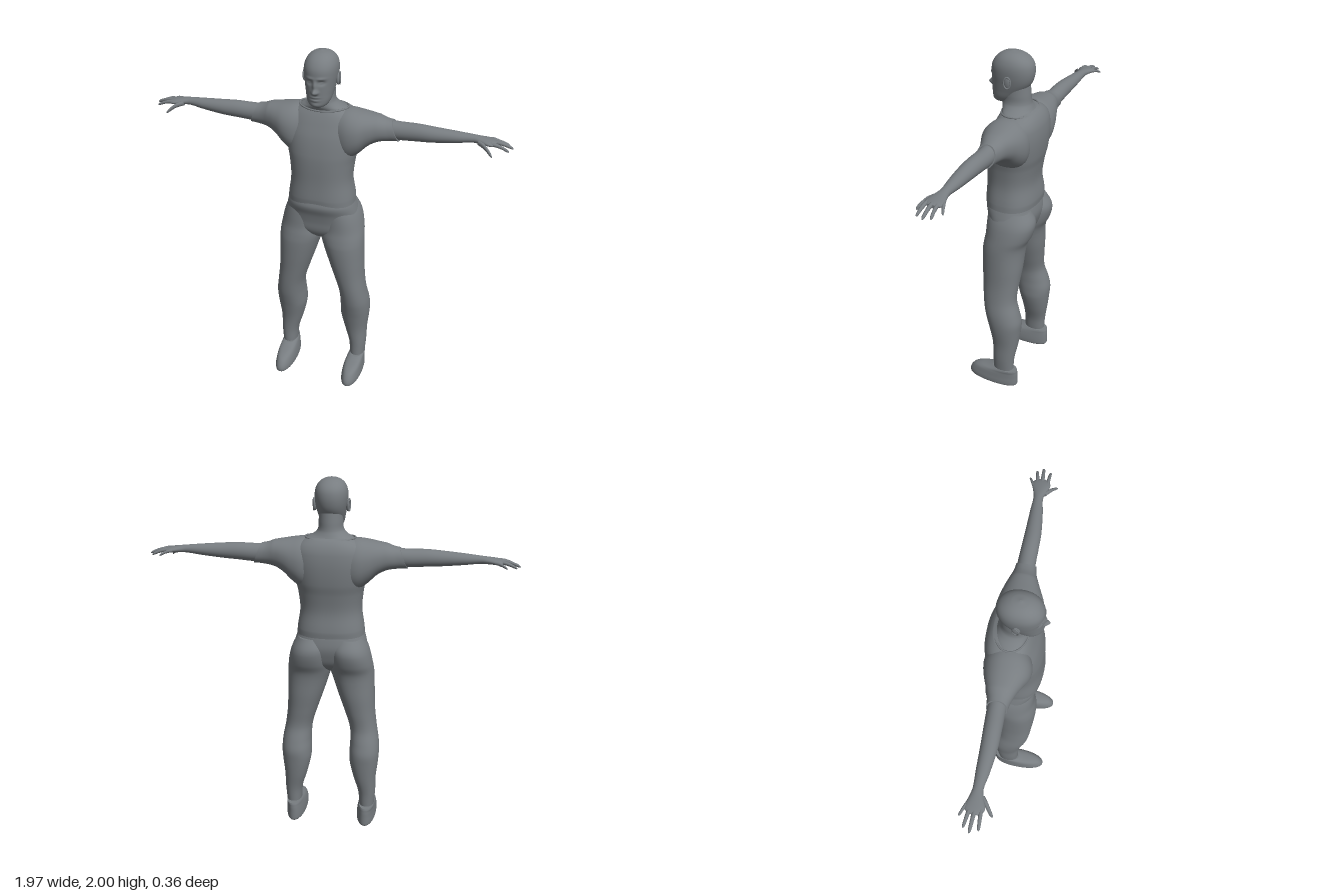
import * as THREE from 'three';

const grey = new THREE.MeshStandardMaterial({ color: 0x787d81 });
grey.name = 'plain grey';

// Axis order for a loft: [axis, first cross direction, second cross direction]
const AXES = { y: ['y', 'x', 'z'], x: ['x', 'z', 'y'] };

// Smooth interpolation through rows of [t, a0, a1, b0, b1]
function refine(rows, steps) {
  const slope = (i, k) => {
    const p = rows[Math.max(i - 1, 0)], q = rows[Math.min(i + 1, rows.length - 1)];
    return (q[k] - p[k]) / (q[0] - p[0]);
  };
  const out = [];
  for (let i = 0; i < rows.length - 1; i++) {
    const p = rows[i], q = rows[i + 1], h = q[0] - p[0];
    for (let s = 0; s < steps; s++) {
      const u = s / steps, u2 = u * u, u3 = u2 * u;
      out.push(p.map((v, k) => k === 0 ? v + h * u
        : (2 * u3 - 3 * u2 + 1) * v + (u3 - 2 * u2 + u) * h * slope(i, k)
        + (3 * u2 - 2 * u3) * q[k] + (u3 - u2) * h * slope(i + 1, k)));
    }
  }
  out.push(rows[rows.length - 1]);
  return out;
}

// Closed skin over superellipse cross-sections, optionally deformed
function loft(rows, { axis = 'y', seg = 40, steps = 5, power = 2, deform = null } = {}) {
  const rings = refine(rows, steps);
  const first = rings[0], last = rings[rings.length - 1];
  const point = ([t, a0, a1, b0, b1]) => [t, (a0 + a1) / 2, (a0 + a1) / 2, (b0 + b1) / 2, (b0 + b1) / 2];
  const all = [point(first), first, ...rings, last, point(last)];
  const pos = [], index = [], v = new THREE.Vector3(), [T, A, B] = AXES[axis];
  const bend = (c) => Math.sign(c) * Math.pow(Math.abs(c), 2 / power);
  for (const [t, a0, a1, b0, b1] of all) {
    for (let j = 0; j < seg; j++) {
      const w = (j / seg) * Math.PI * 2;
      v[T] = t;
      v[A] = (a0 + a1) / 2 + (a1 - a0) / 2 * bend(Math.cos(w));
      v[B] = (b0 + b1) / 2 + (b1 - b0) / 2 * bend(Math.sin(w));
      if (deform) deform(v);
      pos.push(v.x, v.y, v.z);
    }
  }
  for (let i = 0; i < all.length - 1; i++) {
    if (i === 1 || i === all.length - 3) continue; // keeps cap edges sharp
    for (let j = 0; j < seg; j++) {
      const k = (j + 1) % seg, a = i * seg + j, b = a + seg, c = i * seg + k, d = c + seg;
      index.push(a, b, c, c, b, d);
    }
  }
  const g = new THREE.BufferGeometry();
  g.setAttribute('position', new THREE.Float32BufferAttribute(pos, 3));
  g.setIndex(index);
  g.computeVertexNormals();
  return g;
}

// Mirror across x = 0 with corrected winding
function mirrored(geo) {
  const g = geo.clone().scale(-1, 1, 1), ix = g.index;
  for (let i = 0; i < ix.count; i += 3) {
    const b = ix.getX(i + 1);
    ix.setX(i + 1, ix.getX(i + 2));
    ix.setX(i + 2, b);
  }
  g.computeVertexNormals();
  return g;
}

const sym = (rows) => rows.map(([y, w, z0, z1]) => [y, -w, w, z0, z1]);
const bump = (d, s) => Math.exp(-(d * d) / (s * s));

// Face relief: [x, y, width, height, depth], mirrored by |x|
const FACE = [
  [0, 1.845, 0.011, 0.024, 0.012], [0, 1.814, 0.012, 0.013, 0.026], [0.013, 1.811, 0.007, 0.007, 0.008],
  [0.032, 1.862, 0.017, 0.011, -0.012], [0.032, 1.861, 0.010, 0.005, 0.006], [0.03, 1.883, 0.024, 0.007, 0.005],
  [0, 1.784, 0.019, 0.005, 0.006], [0, 1.769, 0.018, 0.006, 0.006], [0, 1.7765, 0.024, 0.003, -0.005],
  [0, 1.742, 0.02, 0.012, 0.004],
];
function sculptFace(v) {
  if (v.z < 0.03) return;
  const fade = Math.min(1, (v.z - 0.03) / 0.03);
  let dz = 0;
  for (const [x, y, sx, sy, d] of FACE) dz += d * bump(Math.abs(v.x) - x, sx) * bump(v.y - y, sy);
  v.z += dz * fade;
}

function finger([x0, y0, z0], [x1, y1, z1], r) {
  const rows = [[0, 1], [0.35, 1], [0.6, 0.9], [0.88, 0.75], [0.97, 0.45], [1, 0.08]].map(([t, s]) => {
    const x = x0 + (x1 - x0) * t, z = z0 + (z1 - z0) * t, y = y0 + (y1 - y0) * t * t;
    return [x, z - r * s, z + r * s, y - r * s, y + r * s];
  });
  return loft(rows, { axis: 'x', seg: 14, steps: 3 });
}

export function createModel() {
  const model = new THREE.Group();
  model.name = 'standingMan';
  const add = (name, geo) => {
    const m = new THREE.Mesh(geo, grey);
    m.name = name;
    model.add(m);
  };
  const pair = (name, geo) => {
    add(name + 'Left', geo);
    add(name + 'Right', mirrored(geo));
  };

  // Head and neck
  add('head', loft(sym([
    [1.722, 0.022, 0.035, 0.085], [1.735, 0.045, 0, 0.104], [1.76, 0.061, -0.03, 0.109],
    [1.8, 0.071, -0.07, 0.111], [1.84, 0.079, -0.1, 0.112], [1.88, 0.085, -0.113, 0.113],
    [1.92, 0.086, -0.114, 0.111], [1.95, 0.079, -0.104, 0.098], [1.975, 0.063, -0.08, 0.075],
    [1.992, 0.037, -0.046, 0.043], [2.0, 0.004, -0.005, 0.005],
  ]), { seg: 112, steps: 9, power: 2.15, deform: sculptFace }));
  add('neck', loft(sym([
    [1.64, 0.14, -0.13, 0.03], [1.69, 0.13, -0.12, 0.042], [1.71, 0.092, -0.11, 0.052],
    [1.735, 0.069, -0.1, 0.055], [1.78, 0.064, -0.096, 0.05], [1.84, 0.06, -0.09, 0.04],
  ])));

  // Ears: a shell with a raised rim
  pair('ear', new THREE.SphereGeometry(1, 20, 14).scale(0.01, 0.032, 0.02).rotateX(-0.15).translate(0.086, 1.856, -0.008));
  pair('earRim', new THREE.TorusGeometry(0.021, 0.004, 8, 28).rotateY(Math.PI / 2)
    .scale(1, 1.4, 0.85).rotateY(0.25).translate(0.093, 1.858, -0.01));

  // Shirt body with a hem that rises at the middle of the front
  add('shirt', loft(sym([
    [1.163, 0.185, -0.153, 0.125], [1.2, 0.182, -0.155, 0.127], [1.3, 0.168, -0.143, 0.122],
    [1.4, 0.176, -0.155, 0.121], [1.46, 0.188, -0.168, 0.117], [1.55, 0.2, -0.175, 0.1],
    [1.62, 0.195, -0.17, 0.075], [1.66, 0.175, -0.157, 0.058], [1.69, 0.13, -0.135, 0.042], [1.7, 0.09, -0.115, 0.035],
  ]), {
    seg: 56, power: 2.4,
    deform: (v) => {
      if (v.z > 0) v.y += 0.02 * bump(v.x, 0.1) * Math.max(0, 1 - (v.y - 1.163) / 0.08);
    },
  }));

  // Shoulders and short sleeves with slanted cuffs
  pair('sleeve', loft([
    [0.04, -0.13, 0.04, 1.45, 1.685], [0.1, -0.15, 0.07, 1.42, 1.69], [0.15, -0.158, 0.085, 1.42, 1.693],
    [0.2, -0.15, 0.08, 1.455, 1.687], [0.25, -0.134, 0.056, 1.503, 1.679], [0.3, -0.116, 0.032, 1.53, 1.671],
    [0.36, -0.102, 0.014, 1.541, 1.659], [0.41, -0.097, 0.006, 1.544, 1.653],
  ], {
    axis: 'x', power: 2.2,
    deform: (v) => { v.x -= 0.4 * (v.y - 1.545) * Math.min(1, Math.max(0, (v.x - 0.3) / 0.1)); },
  }));

  // Neckline
  const ring = [];
  for (let i = 0; i < 24; i++) {
    const a = (i / 24) * Math.PI * 2;
    ring.push(new THREE.Vector3(0.132 * Math.cos(a), 1.688 + 0.008 * Math.cos(a) ** 2, -0.04 + 0.086 * Math.sin(a)));
  }
  add('neckline', new THREE.TubeGeometry(new THREE.CatmullRomCurve3(ring, true), 64, 0.005, 8, true));

  // Bare arms and palms
  pair('arm', loft([
    [0.33, -0.092, 0.002, 1.55, 1.65], [0.41, -0.092, 0, 1.55, 1.647], [0.5, -0.089, 0, 1.556, 1.648],
    [0.58, -0.086, -0.002, 1.561, 1.643], [0.7, -0.083, -0.016, 1.574, 1.634], [0.78, -0.08, -0.029, 1.585, 1.627],
    [0.82, -0.088, -0.02, 1.585, 1.622], [0.86, -0.1, -0.006, 1.584, 1.616], [0.885, -0.096, -0.01, 1.584, 1.611],
    [0.9, -0.075, -0.03, 1.588, 1.606],
  ], { axis: 'x', seg: 32 }));

  // Fingers and thumb
  const fingers = {
    littleFinger: [[0.85, 1.6, -0.09], [0.915, 1.578, -0.12], 0.0085],
    ringFinger: [[0.87, 1.601, -0.074], [0.965, 1.575, -0.09], 0.0095],
    middleFinger: [[0.875, 1.602, -0.05], [0.984, 1.576, -0.058], 0.01],
    indexFinger: [[0.87, 1.601, -0.022], [0.967, 1.573, -0.018], 0.0095],
    thumb: [[0.81, 1.598, -0.03], [0.892, 1.554, 0.03], 0.013],
  };
  for (const name in fingers) pair(name, finger(...fingers[name]));

  // Trousers: hips, then legs whose tops form the seat
  add('trouserHips', loft(sym([
    [0.94, 0.035, -0.05, 0.05], [0.965, 0.12, -0.09, 0.075], [1.0, 0.2, -0.125, 0.09], [1.05, 0.21, -0.145, 0.096],
    [1.1, 0.202, -0.155, 0.106], [1.15, 0.188, -0.15, 0.122], [1.19, 0.175, -0.14, 0.115],
  ]), { seg: 56, power: 2.4 }));
  pair('trouserLeg', loft([
    [0.118, 0.172, 0.258, -0.104, 0.017], [0.2, 0.165, 0.264, -0.11, 0.018], [0.3, 0.136, 0.266, -0.127, 0.025],
    [0.4, 0.113, 0.277, -0.139, 0.045], [0.46, 0.112, 0.28, -0.142, 0.06], [0.52, 0.114, 0.276, -0.128, 0.074],
    [0.6, 0.108, 0.262, -0.106, 0.086], [0.7, 0.078, 0.25, -0.112, 0.096], [0.8, 0.044, 0.246, -0.122, 0.105],
    [0.9, 0.012, 0.243, -0.127, 0.109], [0.95, -0.002, 0.24, -0.136, 0.104], [1.0, -0.004, 0.233, -0.16, 0.096],
    [1.06, -0.003, 0.22, -0.176, 0.094], [1.1, 0, 0.206, -0.172, 0.092], [1.15, 0.02, 0.18, -0.145, 0.085],
  ], { power: 2.15 }));

  // Shoes
  pair('shoe', loft([
    [0, 0.163, 0.257, -0.125, 0.172], [0.008, 0.156, 0.264, -0.129, 0.18], [0.03, 0.154, 0.266, -0.13, 0.18],
    [0.055, 0.156, 0.264, -0.13, 0.168], [0.078, 0.16, 0.262, -0.13, 0.145], [0.093, 0.164, 0.26, -0.129, 0.108],
    [0.104, 0.168, 0.259, -0.128, 0.06], [0.113, 0.173, 0.256, -0.125, 0.025],
  ], { power: 2.2 }));

  return model;
}
